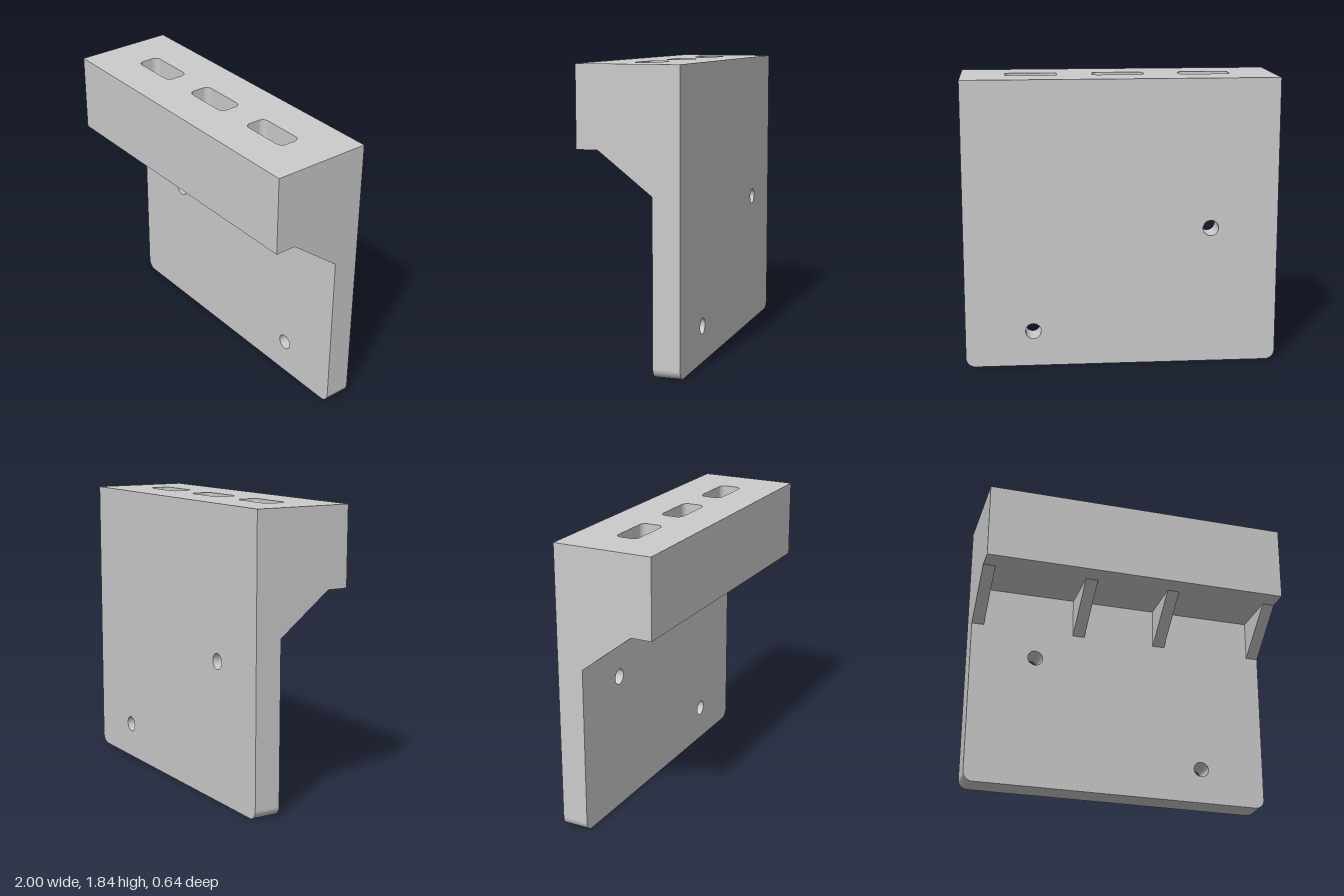
import * as THREE from 'three';

const material = new THREE.MeshStandardMaterial({ color: 0xcccccc });

function addMesh(group, name, geometry) {
  const mesh = new THREE.Mesh(geometry, material);
  mesh.name = name;
  group.add(mesh);
}

function extrude(shape, depth) {
  return new THREE.ExtrudeGeometry(shape, { depth, bevelEnabled: false, curveSegments: 16 });
}

// Rectangle centred on (cx, 0) with rounded corners
function slotPath(cx, w, h, r) {
  const p = new THREE.Path();
  const x = w / 2 - r, y = h / 2 - r, q = Math.PI / 2;
  p.absarc(cx + x, y, r, 0, q);
  p.absarc(cx - x, y, r, q, 2 * q);
  p.absarc(cx - x, -y, r, 2 * q, 3 * q);
  p.absarc(cx + x, -y, r, 3 * q, 4 * q);
  p.closePath();
  return p;
}

export function createModel() {
  const group = new THREE.Group();
  group.name = 'wallBracket';

  const back = -0.32, front = 0.32, plateFront = -0.15;
  const blockBottom = 1.34, top = 1.84, slotFloor = 1.44;

  // Back plate with rounded lower corners and two screw holes
  const r = 0.06;
  const plate = new THREE.Shape();
  plate.moveTo(1, blockBottom);
  plate.lineTo(-1, blockBottom);
  plate.lineTo(-1, r);
  plate.absarc(-1 + r, r, r, Math.PI, Math.PI * 1.5);
  plate.absarc(1 - r, r, r, Math.PI * 1.5, Math.PI * 2);
  plate.closePath();
  for (const [x, y] of [[-0.57, 0.885], [0.567, 0.23]]) {
    plate.holes.push(new THREE.Path().absarc(x, y, 0.05, 0, Math.PI * 2));
  }
  addMesh(group, 'backPlate', extrude(plate, plateFront - back).translate(0, 0, back));

  // Upper block with three blind slots open at the top
  const outline = new THREE.Shape([
    new THREE.Vector2(-1, back), new THREE.Vector2(1, back),
    new THREE.Vector2(1, front), new THREE.Vector2(-1, front),
  ]);
  for (const x of [-0.555, 0, 0.555]) outline.holes.push(slotPath(x, 0.33, 0.145, 0.04));
  addMesh(group, 'slottedBlock',
    extrude(outline, top - slotFloor).rotateX(-Math.PI / 2).translate(0, slotFloor, 0));

  // Solid bottom of the block, closing the slots
  const floorHeight = slotFloor - blockBottom;
  addMesh(group, 'blockBase',
    new THREE.BoxGeometry(2, floorHeight, front - back).translate(0, blockBottom + floorHeight / 2, 0));

  // Triangular ribs under the block, profile in (z, y)
  const rib = new THREE.Shape([
    new THREE.Vector2(plateFront, 1.08),
    new THREE.Vector2(0.185, blockBottom),
    new THREE.Vector2(plateFront, blockBottom),
  ]);
  const ribWidth = 0.08;
  for (const x of [-0.96, -0.28, 0.28, 0.96]) {
    addMesh(group, 'supportRib',
      extrude(rib, ribWidth).rotateY(-Math.PI / 2).translate(x + ribWidth / 2, 0, 0));
  }

  return group;
}
